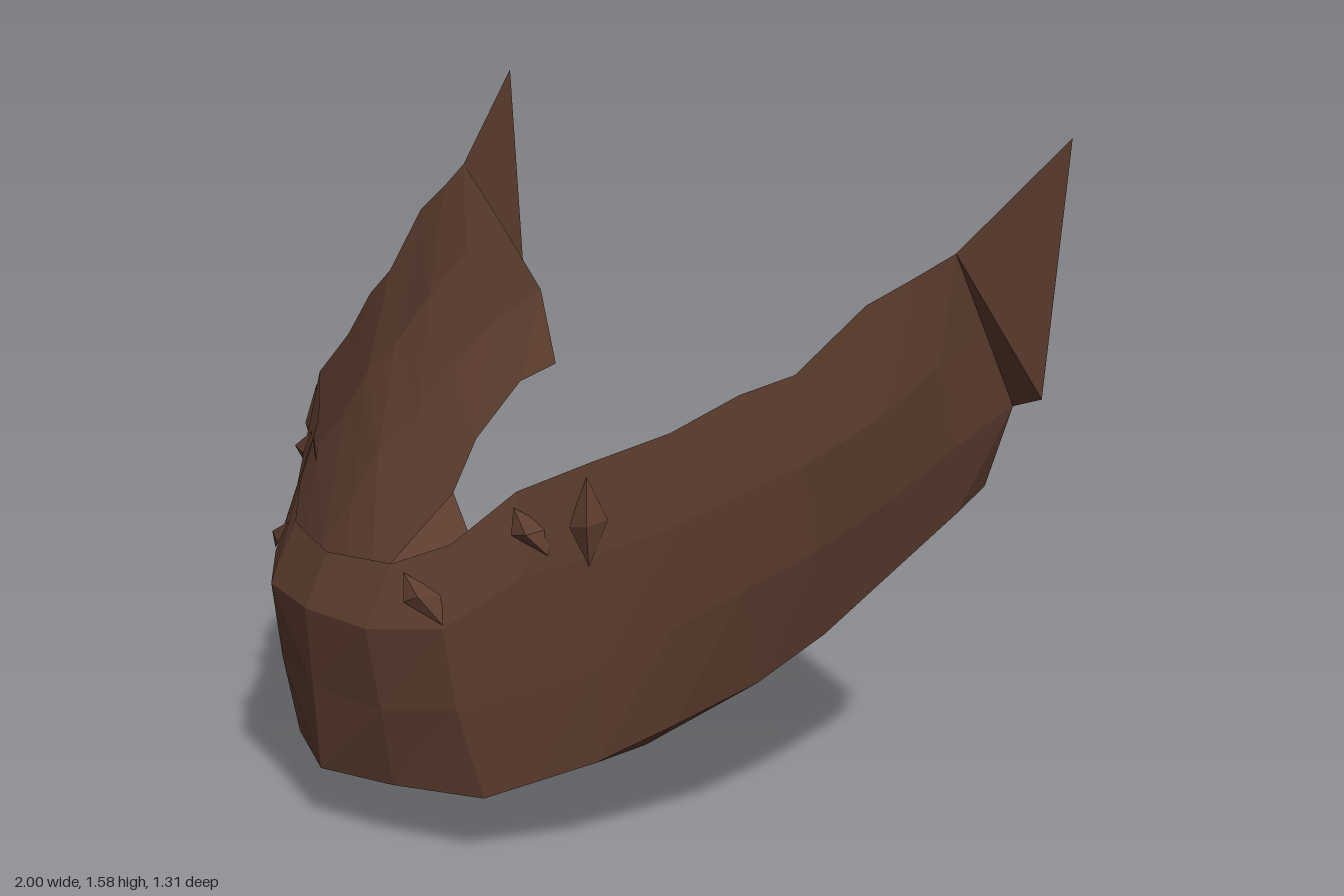
import * as THREE from 'three';

const leather = new THREE.MeshStandardMaterial({ color: 0x5c3c2e, side: THREE.DoubleSide, flatShading: true });
leather.name = 'dark brown';

// Cross-sections of one side, rear to front centre: rim, upper, lower, jaw crease (x, y, z each)
const sections = [
  [0.90, 1.34, -0.41, 0.885, 1.16, -0.53, 0.87, 0.97, -0.65, 0.80, 0.77, -0.65],
  [0.865, 1.29, -0.32, 0.88, 1.10, -0.40, 0.86, 0.90, -0.48, 0.82, 0.73, -0.54],
  [0.83, 1.24, -0.22, 0.85, 1.00, -0.26, 0.83, 0.80, -0.32, 0.78, 0.60, -0.36],
  [0.77, 1.10, -0.08, 0.78, 0.90, -0.10, 0.77, 0.70, -0.16, 0.72, 0.48, -0.24],
  [0.71, 1.06, 0.02, 0.73, 0.85, 0.02, 0.72, 0.63, 0.00, 0.68, 0.39, -0.08],
  [0.63, 0.98, 0.14, 0.65, 0.78, 0.14, 0.64, 0.55, 0.13, 0.61, 0.31, 0.10],
  [0.54, 0.92, 0.28, 0.56, 0.72, 0.28, 0.56, 0.47, 0.27, 0.54, 0.24, 0.26],
  [0.40, 0.84, 0.37, 0.46, 0.67, 0.40, 0.47, 0.42, 0.39, 0.47, 0.20, 0.36],
  [0.31, 0.72, 0.48, 0.35, 0.55, 0.53, 0.37, 0.37, 0.51, 0.40, 0.16, 0.46],
  [0.20, 0.665, 0.56, 0.20, 0.53, 0.63, 0.21, 0.34, 0.60, 0.20, 0.15, 0.565],
  [0, 0.65, 0.60, 0, 0.53, 0.66, 0, 0.34, 0.645, 0, 0.14, 0.63],
];
const point = (k, row) => sections[k].slice(row * 3, row * 3 + 3);

// Mesh from triangles; side -1 mirrors in x and reverses the winding
function patch(name, triangles, side) {
  const positions = [];
  for (const [a, b, c] of triangles) {
    for (const p of side > 0 ? [a, b, c] : [a, c, b]) positions.push(p[0] * side, p[1], p[2]);
  }
  const geometry = new THREE.BufferGeometry();
  geometry.setAttribute('position', new THREE.Float32BufferAttribute(positions, 3));
  geometry.computeVertexNormals();
  const mesh = new THREE.Mesh(geometry, leather);
  mesh.name = name;
  return mesh;
}

const quad = (a, b, c, d) => [[a, b, c], [a, c, d]];

// Cheek and chin wall
function wall() {
  const triangles = [];
  for (let k = 0; k < sections.length - 1; k++) {
    for (let r = 0; r < 3; r++) {
      triangles.push(...quad(point(k, r), point(k + 1, r), point(k + 1, r + 1), point(k, r + 1)));
    }
  }
  return triangles;
}

// Underside of the jaw with a raised back lip
function underside() {
  const c = (k) => point(k, 3);
  const keel = [0, 0.04, 0.24], low = [0, 0, 0.11], mid = [0.3, 0.12, -0.08];
  const back = [[0, 0.10, -0.06], [0.15, 0.17, -0.17], [0.57, 0.35, -0.21]];
  const triangles = [];
  for (let k = 6; k < 10; k++) triangles.push([keel, c(k), c(k + 1)]);
  triangles.push([keel, mid, c(6)], [keel, low, mid], [mid, c(5), c(6)], [mid, c(4), c(5)]);
  triangles.push(...quad(low, back[0], back[1], mid), ...quad(mid, back[1], back[2], c(4)));
  triangles.push([c(4), back[2], c(3)]);
  return triangles;
}

// Pointed rear tip with its narrow inward ledge
function tip() {
  const top = [1, 1.575, -0.64], front = [0.90, 1.34, -0.41];
  const bottom = [0.95, 1.0, -0.65], inner = [0.87, 0.97, -0.65];
  return [[top, front, bottom], [bottom, front, inner]];
}

// Small raised crease between two points, widest in the middle
function fold(a, b, out) {
  const m = a.map((v, i) => (v + b[i]) / 2);
  const peak = m.map((v, i) => v + out[i]);
  const left = [m[0] + 0.03, m[1] + 0.01, m[2] - 0.03];
  const right = [m[0] - 0.03, m[1] - 0.01, m[2] + 0.03];
  return [[a, right, peak], [a, peak, left], [b, peak, right], [b, left, peak]];
}

export function createModel() {
  const model = new THREE.Group();
  model.name = 'jawGuard';
  for (const side of [1, -1]) {
    const prefix = side > 0 ? 'left' : 'right';
    model.add(patch(prefix + 'Wall', wall(), side));
    model.add(patch(prefix + 'Underside', underside(), side));
    model.add(patch(prefix + 'RearTip', tip(), side));
    const folds = [
      ...fold([0.54, 0.89, 0.29], [0.55, 0.69, 0.29], [0.02, 0, 0.02]),
      ...fold([0.41, 0.81, 0.385], [0.50, 0.72, 0.36], [0.015, 0, 0.025]),
      ...fold([0.24, 0.655, 0.555], [0.35, 0.56, 0.53], [0.01, 0.01, 0.02]),
    ];
    model.add(patch(prefix + 'CheekFolds', folds, side));
  }
  return model;
}
